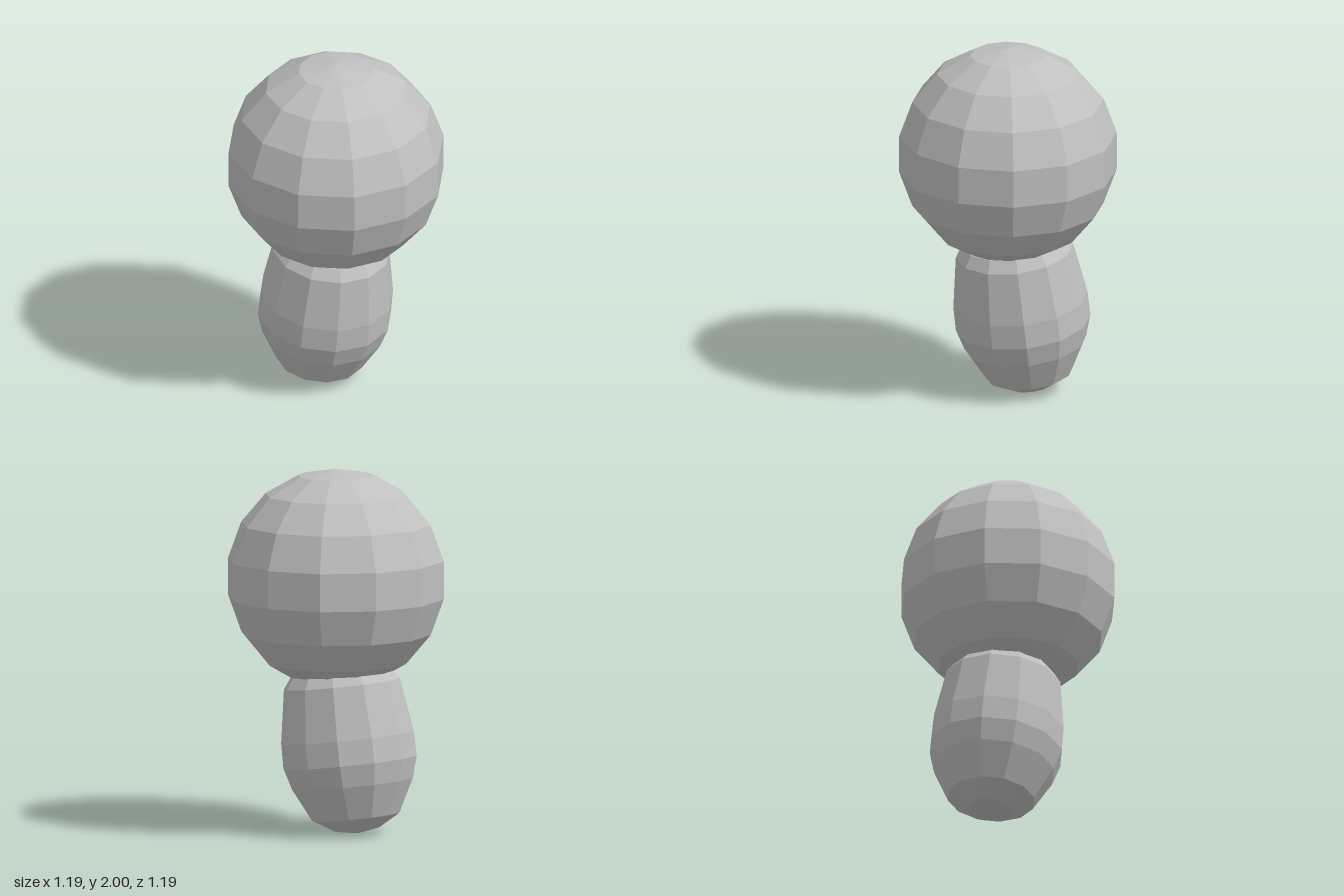
import * as THREE from 'three';

export function createModel() {
  const model = new THREE.Group();
  const grey = new THREE.MeshStandardMaterial({ color: 0xc0c0c0, flatShading: true });
  grey.name = 'grey';

  // Large faceted ball resting on the body
  const head = new THREE.Mesh(new THREE.SphereGeometry(0.605, 12, 9), grey);
  head.name = 'head';
  head.position.y = 1.395;
  model.add(head);

  // Barrel-shaped body, as radius and height, leaning towards +x
  const profile = [
    [0, 0], [0.125, 0.022], [0.242, 0.09], [0.336, 0.272], [0.371, 0.392],
    [0.369, 0.53], [0.323, 0.823], [0.278, 0.885], [0, 0.93],
  ].map(([r, y]) => new THREE.Vector2(r, y));
  const body = new THREE.Mesh(new THREE.LatheGeometry(profile, 12), grey);
  body.name = 'body';
  body.position.set(-0.15, 0, 0);
  body.rotation.z = -0.132;
  model.add(body);

  return model;
}
